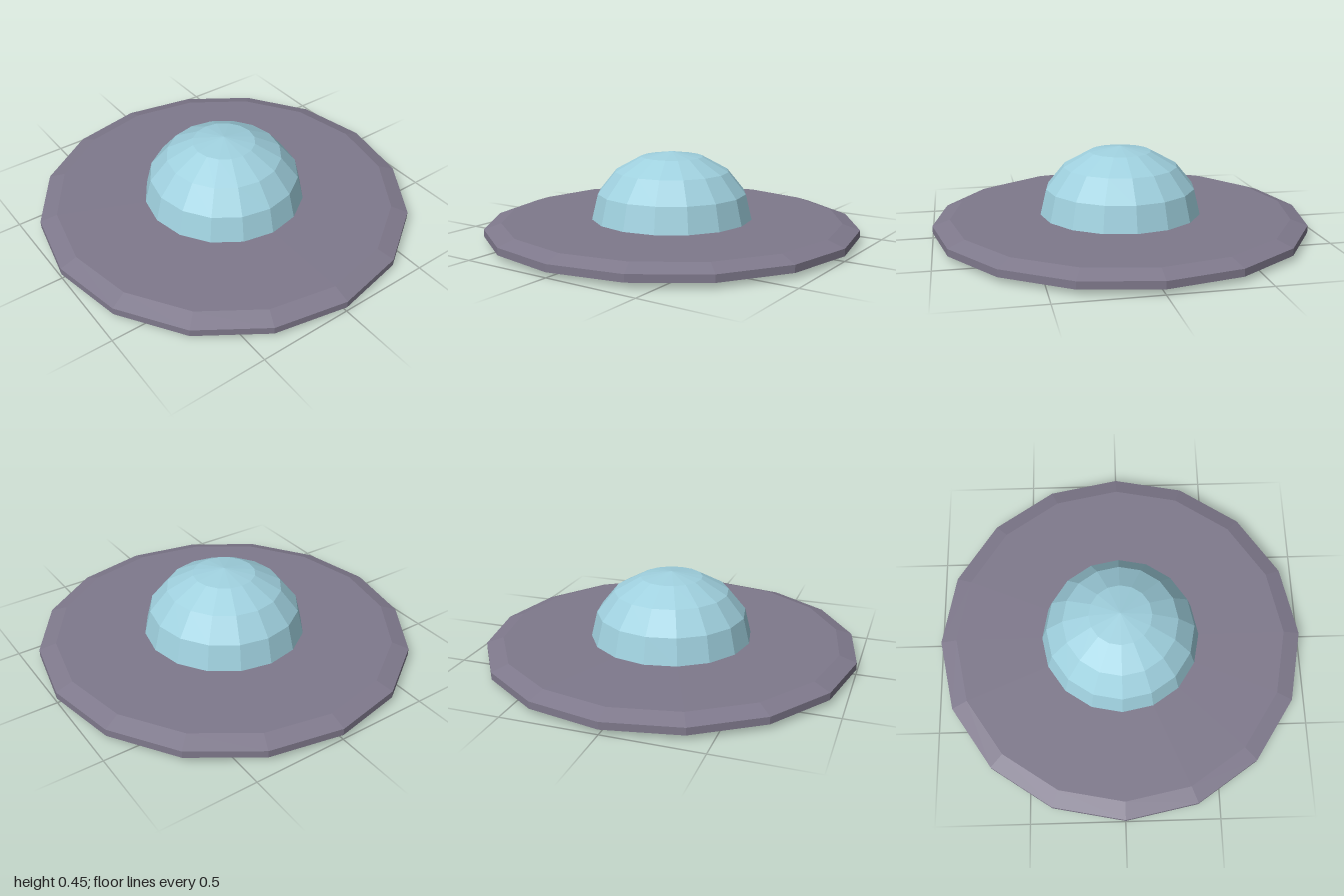
import * as THREE from 'three';

const SIDES = 16;

// Faceted solid of revolution from [radius, height] pairs, bottom to top
function turned(name, profile, color) {
  const points = profile.map(([r, y]) => new THREE.Vector2(r, y));
  const material = new THREE.MeshStandardMaterial({ color, flatShading: true });
  const mesh = new THREE.Mesh(new THREE.LatheGeometry(points, SIDES), material);
  mesh.name = name;
  return mesh;
}

export function createModel() {
  const group = new THREE.Group();
  group.name = 'saucer';

  // Thin disc with bevelled rim
  group.add(turned('disc', [
    [0, 0], [0.88, 0], [1, 0.026], [1, 0.064], [0.91, 0.094], [0, 0.094],
  ], 0x7f798c));

  // Slightly flattened half-sphere canopy
  const rings = 4, radius = 0.434, height = 0.357, base = 0.094;
  const profile = [];
  for (let i = 0; i <= rings; i++) {
    const a = (i / rings) * Math.PI / 2;
    profile.push([i === rings ? 0 : radius * Math.cos(a), base + height * Math.sin(a)]);
  }
  group.add(turned('dome', profile, 0x9fd0de));

  return group;
}
